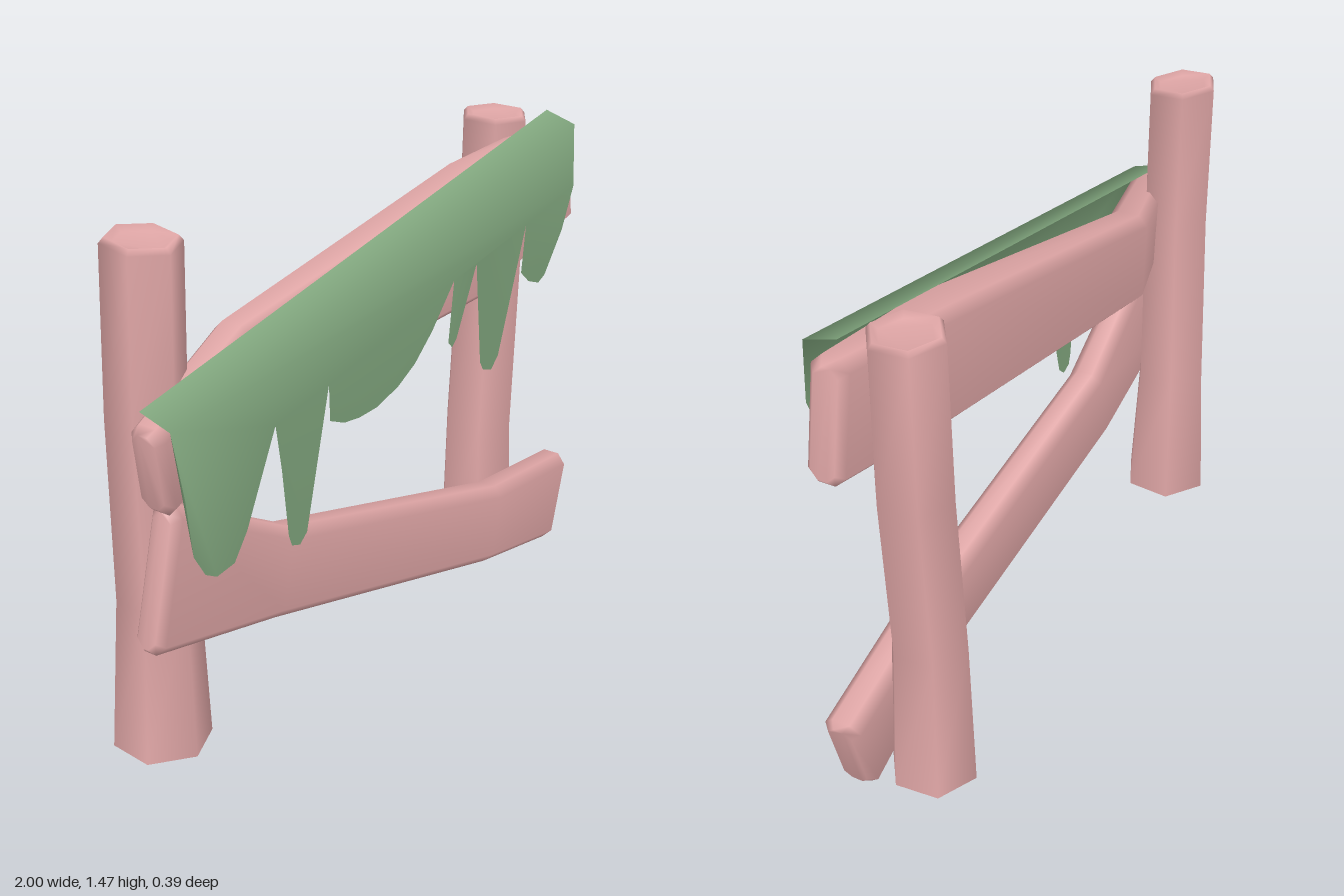
import * as THREE from 'three';
import { mergeGeometries, mergeVertices } from 'three/addons/utils/BufferGeometryUtils.js';

// Skin a list of rings (ordered counter-clockwise about the path); the start may stay open.
function loft(rings, openStart = false) {
  const n = rings[0].length, pos = [], idx = [];
  rings.forEach((r) => r.forEach((p) => pos.push(p.x, p.y, p.z)));
  for (let i = 0; i < rings.length - 1; i++) {
    for (let j = 0; j < n; j++) {
      const a = i * n + j, b = i * n + (j + 1) % n;
      idx.push(a, b, b + n, a, b + n, a + n);
    }
  }
  const s = (rings.length - 1) * n;
  for (let j = 1; j < n - 1; j++) {
    idx.push(s, s + j, s + j + 1);
    if (!openStart) idx.push(0, j + 1, j);
  }
  const g = new THREE.BufferGeometry();
  g.setAttribute('position', new THREE.Float32BufferAttribute(pos, 3));
  g.setIndex(idx);
  g.computeVertexNormals();
  return g;
}

// Crooked six-sided hollow post; each station is [x, y, z, radius]. The top tilts toward the front.
function post(stations, turn, tilt) {
  const [x, y, z, r] = stations[stations.length - 1];
  // worn rim and a slightly sunken top
  const all = [...stations, [x, y + 0.015, z, r * 0.88], [x, y + 0.002, z, r * 0.7]];
  return loft(all.map(([cx, cy, cz, rad], k) => Array.from({ length: 6 }, (_, i) => {
    const t = i * Math.PI / 3 + turn, dz = rad * Math.cos(t);
    const lean = k >= stations.length - 1 ? -tilt * dz : 0;
    return new THREE.Vector3(cx + rad * Math.sin(t), cy + lean, cz + dz);
  })), true);
}

// Bent plank with bevelled edges;
// each station is [topX, topY, bottomX, bottomY, backZ, frontZ, rise of the back bottom edge].
function plank(stations) {
  const c = 0.03;
  const ring = ([tx, ty, bx, by, zb, zf, rise = 0], inset = 0) => {
    const top = new THREE.Vector2(tx, ty), bottom = new THREE.Vector2(bx, by);
    const len = top.distanceTo(bottom);
    const at = (d, z) => {
      const p = top.clone().lerp(bottom, d / len);
      return new THREE.Vector3(p.x, p.y, z);
    };
    const k = c - inset * 0.4, lo = inset, hi = len - inset, b = zb + inset, f = zf - inset;
    return [at(lo, b + k), at(lo, f - k), at(lo + k, f), at(hi - k, f),
      at(hi, f - k), at(hi - rise, b + k), at(hi - k - rise, b), at(lo + k, b)];
  };
  const shift = (s, d) => [s[0] + d, s[1], s[2] + d, ...s.slice(3)];
  const first = stations[0], last = stations[stations.length - 1];
  return loft([
    ring(first, 0.02), ring(shift(first, 0.022)),
    ...stations.slice(1, -1).map((s) => ring(s)),
    ring(shift(last, -0.022)), ring(last, 0.02),
  ]);
}

// Ragged hanging sheet folded over the top rail.
function hanging() {
  const ridge = (x) => 1.08 + (x + 0.95) * 0.38 / 1.85;
  const edge = [
    [-0.95, 1.05], [-0.92, 0.86], [-0.89, 0.69], [-0.845, 0.62], [-0.8, 0.595], [-0.73, 0.605], [-0.68, 0.68],
    [-0.57, 0.94], [-0.54, 0.8], [-0.505, 0.59], [-0.49, 0.555], [-0.455, 0.543], [-0.425, 0.57],
    [-0.345, 0.98], [-0.335, 0.87], [-0.27, 0.842], [-0.2, 0.833], [-0.12, 0.836], [-0.02, 0.865],
    [0.06, 0.91], [0.14, 0.985], [0.24, 1.11], [0.228, 0.92], [0.25, 0.9], [0.27, 0.92],
    [0.355, 1.13], [0.41, 0.8], [0.43, 0.77], [0.475, 0.755], [0.51, 0.79],
    [0.62, 1.18], [0.612, 1.03], [0.66, 0.99], [0.72, 0.968], [0.755, 0.985], [0.84, 1.11], [0.89, 1.24], [0.9, 1.43],
  ];
  const front = new THREE.ShapeGeometry(new THREE.Shape(edge.map(([x, y]) => new THREE.Vector2(x, y))));
  const p = front.attributes.position;
  for (let i = 0; i < p.count; i++) {
    const d = ridge(p.getX(i)) - p.getY(i);
    p.setZ(i, d < 0.2 ? 0.17 + Math.max(d - 0.03, 0) * 0.08 : 0.184 - (d - 0.2) * 0.04);
  }
  front.deleteAttribute('uv');
  front.deleteAttribute('normal');
  const fold = new THREE.BufferGeometry();
  fold.setAttribute('position', new THREE.Float32BufferAttribute(
    [-0.95, 1.05, 0.17, 0.9, 1.43, 0.17, 0.9, 1.46, 0.07, -0.95, 1.08, 0.07], 3));
  fold.setIndex([0, 1, 2, 0, 2, 3]);
  const g = mergeVertices(mergeGeometries([front, fold]), 0.001);
  g.computeVertexNormals();
  return g;
}

export function createModel() {
  const group = new THREE.Group();
  const wood = new THREE.MeshStandardMaterial({ color: 0xdea5a5, side: THREE.DoubleSide });
  wood.name = 'rosy wood';
  const moss = new THREE.MeshStandardMaterial({ color: 0x80a57d, side: THREE.DoubleSide });
  moss.name = 'moss green';
  const add = (name, geometry, material) => {
    const m = new THREE.Mesh(geometry, material);
    m.name = name;
    group.add(m);
  };

  add('rightPost', post([
    [-0.785, 0.01, -0.06, 0.138], [-0.77, 0.45, -0.068, 0.114], [-0.81, 1.0, -0.042, 0.108], [-0.785, 1.445, -0.055, 0.107],
  ], -0.1, 0.1), wood);
  add('leftPost', post([
    [0.77, 0.01, -0.06, 0.13], [0.742, 0.45, -0.046, 0.115], [0.808, 1.0, -0.065, 0.112], [0.79, 1.445, -0.05, 0.108],
  ], 0.08, 0.03), wood);
  add('lowerRail', plank([
    [-0.91, 0.82, -1.005, 0.43, 0.05, 0.15],
    [-0.44, 0.575, -0.5, 0.318, 0.03, 0.14],
    [0.53, 0.34, 0.48, 0.095, 0.075, 0.19],
    [1.0, 0.28, 0.92, 0.0, 0.04, 0.155],
  ]), wood);
  add('upperRail', plank([
    [-0.985, 1.055, -0.95, 0.81, 0.05, 0.165],
    [-0.49, 1.15, -0.47, 0.865, -0.09, 0.035],
    [0.49, 1.366, 0.53, 0.96, -0.04, 0.12, 0.07],
    [0.945, 1.425, 1.003, 1.09, 0.02, 0.13],
  ]), wood);
  add('mossHanging', hanging(), moss);
  return group;
}
